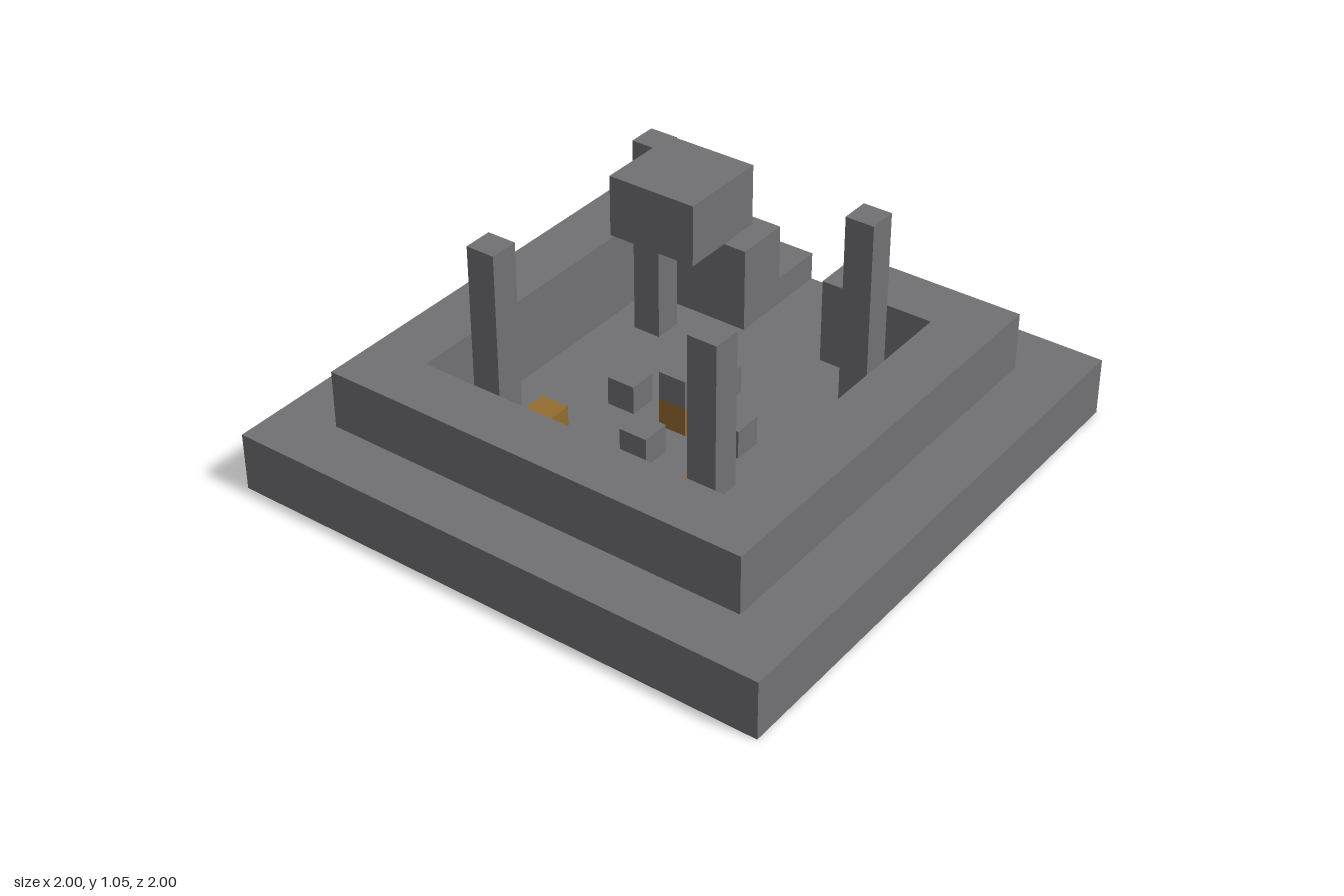
import * as THREE from 'three';

const U = 2 / 19; // one block: the base is 19 blocks wide

export function createModel() {
  const group = new THREE.Group();
  const stone = new THREE.MeshStandardMaterial({ color: 0x717073 });
  stone.name = 'dark stone';
  const amber = new THREE.MeshStandardMaterial({ color: 0x936b30 });
  amber.name = 'amber';

  // Box centred on (x, z), from height y0 to y1, all in blocks
  function block(name, material, x, z, y0, y1, width = 1) {
    const geo = new THREE.BoxGeometry(width * U, (y1 - y0) * U, width * U);
    const mesh = new THREE.Mesh(geo, material);
    mesh.position.set(x * U, ((y0 + y1) / 2) * U, z * U);
    mesh.name = name;
    group.add(mesh);
  }

  // Square wall around the pit, open at the back for the entrance
  function wall(name, half, y0, y1) {
    const pit = 5.5, gap = 1.5;
    const outline = [
      [-gap, half], [-half, half], [-half, -half], [half, -half], [half, half], [gap, half],
      [gap, pit], [pit, pit], [pit, -pit], [-pit, -pit], [-pit, pit], [-gap, pit],
    ].map(([x, y]) => new THREE.Vector2(x * U, y * U));
    const geo = new THREE.ExtrudeGeometry(new THREE.Shape(outline), {
      depth: (y1 - y0) * U, bevelEnabled: false,
    });
    geo.rotateX(-Math.PI / 2);
    const mesh = new THREE.Mesh(geo, stone);
    mesh.position.y = y0 * U;
    mesh.name = name;
    group.add(mesh);
  }

  // Stepped platform with sunken floor
  block('floorSlab', stone, 0, 0, 0, 1, 19);
  wall('lowerStep', 9.5, 1, 2);
  wall('upperStep', 7.5, 2, 4);

  // Corner pillars
  for (const x of [-4, 4]) {
    for (const z of [-4, 4]) block('pillar', stone, x, z, 1, 8);
  }

  // Central pedestal with four blocks around it
  block('pedestalCore', amber, 0, 0, 1, 2);
  block('pedestalTop', stone, 0, 0, 2, 3);
  for (const [x, z] of [[2, 0], [-2, 0], [0, 2], [0, -2]]) {
    block('pedestalSideBlock', stone, x, z, 1, 2);
  }

  // Amber blocks towards the front
  for (const [x, z] of [[-3, 3], [0, 4], [3, 3]]) block('amberBlock', amber, x, z, 1, 2);

  // Floating capstone
  block('floatingBlock', stone, 0, 0, 8, 10, 3);

  return group;
}
